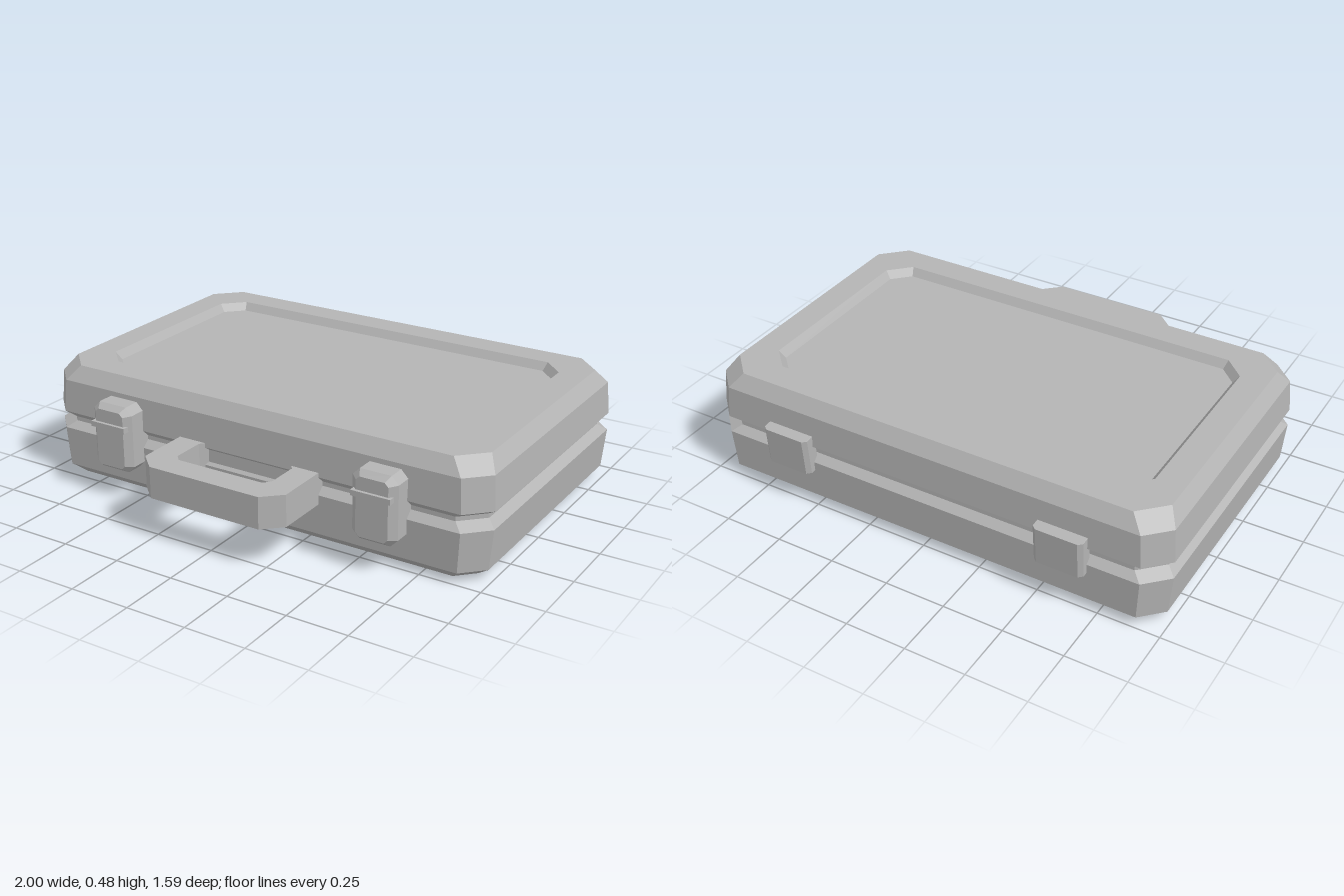
import * as THREE from 'three';

// Faceted loft along y: each level is [y, halfX, halfZ, cornerCut]
function loft(levels) {
  const rings = levels.map(([y, hx, hz, c]) => [
    [hx, y, hz - c], [hx, y, c - hz], [hx - c, y, -hz], [c - hx, y, -hz],
    [-hx, y, c - hz], [-hx, y, hz - c], [c - hx, y, hz], [hx - c, y, hz],
  ]);
  const pos = [];
  const tri = (a, b, c) => pos.push(...a, ...b, ...c);
  for (let k = 0; k < rings.length - 1; k++) {
    const lo = rings[k], hi = rings[k + 1];
    for (let i = 0; i < 8; i++) {
      const j = (i + 1) % 8;
      tri(lo[i], lo[j], hi[j]);
      tri(lo[i], hi[j], hi[i]);
    }
  }
  const first = rings[0], last = rings[rings.length - 1];
  for (let i = 1; i < 7; i++) {
    tri(last[0], last[i], last[i + 1]);
    tri(first[0], first[i + 1], first[i]);
  }
  const geo = new THREE.BufferGeometry();
  geo.setAttribute('position', new THREE.Float32BufferAttribute(pos, 3));
  geo.computeVertexNormals(); // unshared corners give flat facets
  return geo;
}

export function createModel() {
  const group = new THREE.Group();
  const grey = new THREE.MeshStandardMaterial({ color: 0xb4b4b4 });
  grey.name = 'case grey';

  const add = (name, geo, x = 0, y = 0, z = 0) => {
    const mesh = new THREE.Mesh(geo, grey);
    mesh.name = name;
    mesh.position.set(x, y, z);
    group.add(mesh);
    return mesh;
  };

  // Two shells meeting in a V-shaped seam
  add('baseShell', loft([
    [0, 0.93, 0.57, 0.07],
    [0.045, 0.985, 0.62, 0.085],
    [0.21, 1, 0.627, 0.09],
    [0.238, 0.965, 0.597, 0.09],
    [0.248, 0.965, 0.597, 0.09],
  ]), 0, 0, -0.125);

  // Lid with a sunken top panel
  add('lidShell', loft([
    [0.248, 0.965, 0.597, 0.09],
    [0.256, 0.965, 0.597, 0.09],
    [0.284, 1, 0.627, 0.09],
    [0.42, 0.99, 0.62, 0.09],
    [0.48, 0.95, 0.58, 0.1],
    [0.48, 0.835, 0.463, 0.085],
    [0.448, 0.81, 0.438, 0.07],
  ]), 0, 0, -0.125);

  // Latches on the front, hinges on the back
  const latchGeo = loft([
    [0.46, 0.095, 0.14, 0.03],
    [0.565, 0.095, 0.14, 0.03],
    [0.592, 0.067, 0.12, 0.015],
  ]).rotateX(Math.PI / 2);
  const hingeGeo = loft([
    [-0.03, 0.102, 0.08, 0.001],
    [0.015, 0.102, 0.08, 0.001],
    [0.03, 0.085, 0.08, 0.001],
  ]).rotateX(-Math.PI / 2);
  for (const [side, x] of [['left', 0.6], ['right', -0.6]]) {
    add(side + 'Latch', latchGeo, x, 0.26, 0);
    add(side + 'LatchBar', new THREE.BoxGeometry(0.165, 0.022, 0.05), x, 0.315, 0.58);
    add(side + 'Hinge', hingeGeo, x, 0.25, -0.762).rotation.x = -0.07;
  }

  // Carrying handle, a cut-cornered loop lying flat
  const points = (list) => list.map(([x, z]) => new THREE.Vector2(x, z));
  const shape = new THREE.Shape(points([
    [-0.32, 0.46], [0.32, 0.46], [0.32, 0.72], [0.245, 0.79], [-0.245, 0.79], [-0.32, 0.72],
  ]));
  shape.holes.push(new THREE.Path(points([
    [-0.19, 0.49], [-0.215, 0.52], [-0.215, 0.655], [-0.19, 0.682],
    [0.19, 0.682], [0.215, 0.655], [0.215, 0.52], [0.19, 0.49],
  ])));
  const handleGeo = new THREE.ExtrudeGeometry(shape, { depth: 0.13, bevelEnabled: false });
  add('handle', handleGeo.rotateX(Math.PI / 2), 0, 0.302, 0);

  return group;
}
